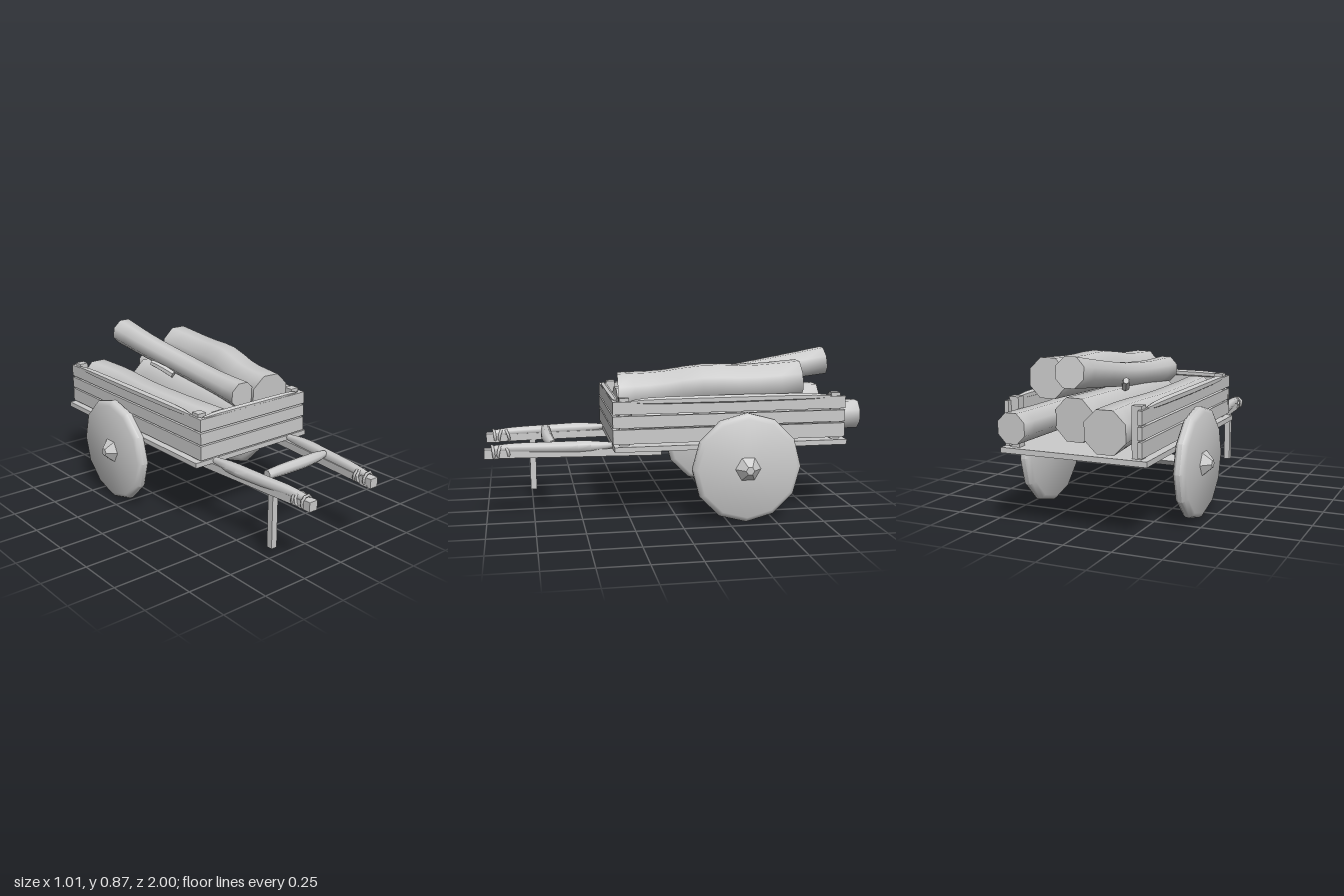
import * as THREE from 'three';
import { toCreasedNormals } from 'three/addons/utils/BufferGeometryUtils.js';

const material = new THREE.MeshStandardMaterial({ color: 0xcccccc });

export function createModel() {
  const cart = new THREE.Group();
  cart.name = 'woodCart';

  const add = (name, geometry, x = 0, y = 0, z = 0, parent = cart) => {
    const mesh = new THREE.Mesh(geometry, material);
    mesh.name = name;
    mesh.position.set(x, y, z);
    parent.add(mesh);
    return mesh;
  };
  const box = (name, w, h, d, x, y, z, parent) =>
    add(name, new THREE.BoxGeometry(w, h, d), x, y, z, parent);

  // Bent round timber: stations are [x, y, z, radius]
  const log = (name, stations, sides = 8, steps = 10) => {
    const path = new THREE.CatmullRomCurve3(stations.map(s => new THREE.Vector3(s[0], s[1], s[2])));
    const up = new THREE.Vector3(0, 1, 0);
    const verts = [], index = [];
    for (let i = 0; i <= steps; i++) {
      const f = i / steps * (stations.length - 1);
      const k = Math.min(Math.floor(f), stations.length - 2);
      const r = THREE.MathUtils.lerp(stations[k][3], stations[k + 1][3], f - k);
      const p = path.getPoint(i / steps), t = path.getTangent(i / steps);
      const u = up.clone().cross(t).normalize(), v = t.clone().cross(u);
      for (let j = 0; j < sides; j++) {
        const a = (j + 0.5) / sides * Math.PI * 2;
        const q = p.clone().addScaledVector(u, r * Math.cos(a)).addScaledVector(v, r * Math.sin(a));
        verts.push(q.x, q.y, q.z);
      }
    }
    const start = (steps + 1) * sides, last = steps * sides;
    verts.push(...stations[0].slice(0, 3), ...stations[stations.length - 1].slice(0, 3));
    for (let j = 0; j < sides; j++) {
      const n = (j + 1) % sides;
      for (let i = 0; i < steps; i++) {
        const a = i * sides + j, b = i * sides + n;
        index.push(a, b, a + sides, b, b + sides, a + sides);
      }
      index.push(start, n, j, start + 1, last + j, last + n);
    }
    const g = new THREE.BufferGeometry();
    g.setAttribute('position', new THREE.Float32BufferAttribute(verts, 3));
    g.setIndex(index);
    return add(name, toCreasedNormals(g, 0.9));
  };

  // Bed floor, open at the back
  box('floor', 0.77, 0.027, 1.245, 0, 0.399, -0.283);

  // Slatted walls
  for (const [y, h] of [[0.46, 0.076], [0.537, 0.062], [0.61, 0.066]]) {
    box('frontSlat', 0.72, h, 0.022, 0, y, 0.335);
    for (const s of [-1, 1]) box('sideSlat', 0.022, h, 1.245, s * 0.348, y, -0.278);
  }

  // Corner posts and rounded top rails
  for (const s of [-1, 1]) {
    for (const z of [0.285, -0.85]) box('cornerPost', 0.05, 0.25, 0.05, s * 0.322, 0.535, z);
    log('sideRail', [[s * 0.35, 0.642, 0.25, 0.008], [s * 0.35, 0.643, 0.15, 0.02],
      [s * 0.352, 0.644, -0.28, 0.022], [s * 0.35, 0.644, -0.7, 0.019], [s * 0.35, 0.642, -0.82, 0.008]], 6);
  }
  log('frontRail', [[-0.325, 0.64, 0.325, 0.008], [-0.26, 0.643, 0.328, 0.018],
    [0, 0.644, 0.33, 0.018], [0.25, 0.643, 0.328, 0.017], [0.31, 0.641, 0.325, 0.008]], 6);

  // Wheels with bevelled rims and tapered hubs
  const rim = [[0, -0.034], [0.262, -0.034], [0.28, -0.024], [0.29, -0.01],
    [0.29, 0.01], [0.28, 0.024], [0.262, 0.034], [0, 0.034]];
  for (const s of [-1, 1]) {
    const wheel = new THREE.Group();
    wheel.name = s > 0 ? 'leftWheel' : 'rightWheel';
    wheel.position.set(s * 0.426, 0.29, -0.345);
    wheel.rotation.z = -s * Math.PI / 2;
    cart.add(wheel);
    const profile = rim.map(p => new THREE.Vector2(...p));
    add('disc', toCreasedNormals(new THREE.LatheGeometry(profile, 12), 0.65), 0, 0, 0, wheel);
    add('hub', new THREE.CylinderGeometry(0.022, 0.068, 0.046, 6).toNonIndexed(), 0, 0.057, 0, wheel)
      .geometry.computeVertexNormals();
  }

  // Axle set on edge, with a wedge bracket under the floor
  box('axle', 0.8, 0.042, 0.042, 0, 0.29, -0.345).rotation.x = Math.PI / 4;
  const wedge = new THREE.Shape([[-0.12, 0.39], [-0.015, 0.25], [0.015, 0.25], [0.12, 0.39]]
    .map(p => new THREE.Vector2(...p)));
  const wedgeGeometry = new THREE.ExtrudeGeometry(wedge, { depth: 0.155, bevelEnabled: false });
  wedgeGeometry.translate(0, 0, -0.0775).rotateY(Math.PI / 2);
  add('axleBracket', wedgeGeometry, 0, 0, -0.345);

  // Handles: square beam, round pole lashed on top, blocky grip
  for (const s of [-1, 1]) {
    const beam = box('handleBeam', 0.05, 0.04, 0.9, s * 0.243, 0.366, 0.53);
    beam.rotation.y = -s * 0.075;
    log('handlePole', [[s * 0.26, 0.4, 0.34, 0.018], [s * 0.255, 0.398, 0.48, 0.034],
      [s * 0.238, 0.396, 0.68, 0.031], [s * 0.22, 0.395, 0.85, 0.028], [s * 0.212, 0.39, 0.95, 0.022]], 7);
    box('grip', 0.05, 0.05, 0.07, s * 0.21, 0.368, 0.965);
    for (const [z, tilt] of [[0.885, 0.25], [0.92, -0.2], [0.955, 0.1]]) {
      const wrap = add('lashing', new THREE.TorusGeometry(0.034, 0.008, 5, 8), s * 0.213, 0.376, z);
      wrap.rotation.set(tilt, tilt, Math.PI / 8);
    }
  }
  log('crossbar', [[-0.2, 0.412, 0.668, 0.024], [-0.1, 0.414, 0.67, 0.03], [0.05, 0.415, 0.67, 0.031],
    [0.15, 0.413, 0.66, 0.028], [0.22, 0.41, 0.648, 0.018]], 8);
  box('propLeg', 0.034, 0.31, 0.034, -0.227, 0.21, 0.743);

  // Load of logs
  log('lowerRightLog', [[-0.19, 0.535, 0.27, 0.11], [-0.205, 0.54, 0, 0.106], [-0.2, 0.535, -0.35, 0.108],
    [-0.17, 0.535, -0.65, 0.108], [-0.175, 0.53, -0.905, 0.114]]);
  log('lowerMiddleLog', [[0.03, 0.53, 0.25, 0.1], [0.04, 0.535, 0, 0.112], [0.05, 0.535, -0.35, 0.118],
    [0.08, 0.535, -0.72, 0.118]]);
  log('lowerLeftLog', [[0.25, 0.52, 0.24, 0.075], [0.25, 0.53, -0.3, 0.08], [0.255, 0.53, -0.7, 0.078],
    [0.267, 0.53, -0.995, 0.08]]);
  log('topMiddleLog', [[-0.005, 0.675, 0.255, 0.074], [0.015, 0.685, 0, 0.064], [0.025, 0.71, -0.3, 0.066],
    [0.01, 0.752, -0.6, 0.07], [0.01, 0.795, -0.89, 0.08]]);
  log('topLeftLog', [[0.155, 0.66, 0.29, 0.115], [0.18, 0.675, 0.08, 0.108], [0.225, 0.71, -0.15, 0.108],
    [0.25, 0.71, -0.38, 0.105], [0.255, 0.725, -0.665, 0.11]]);
  log('branchStub', [[-0.02, 0.65, -0.34, 0.022], [-0.055, 0.685, -0.41, 0.02], [-0.082, 0.705, -0.465, 0.017]], 6, 3);

  return cart;
}
